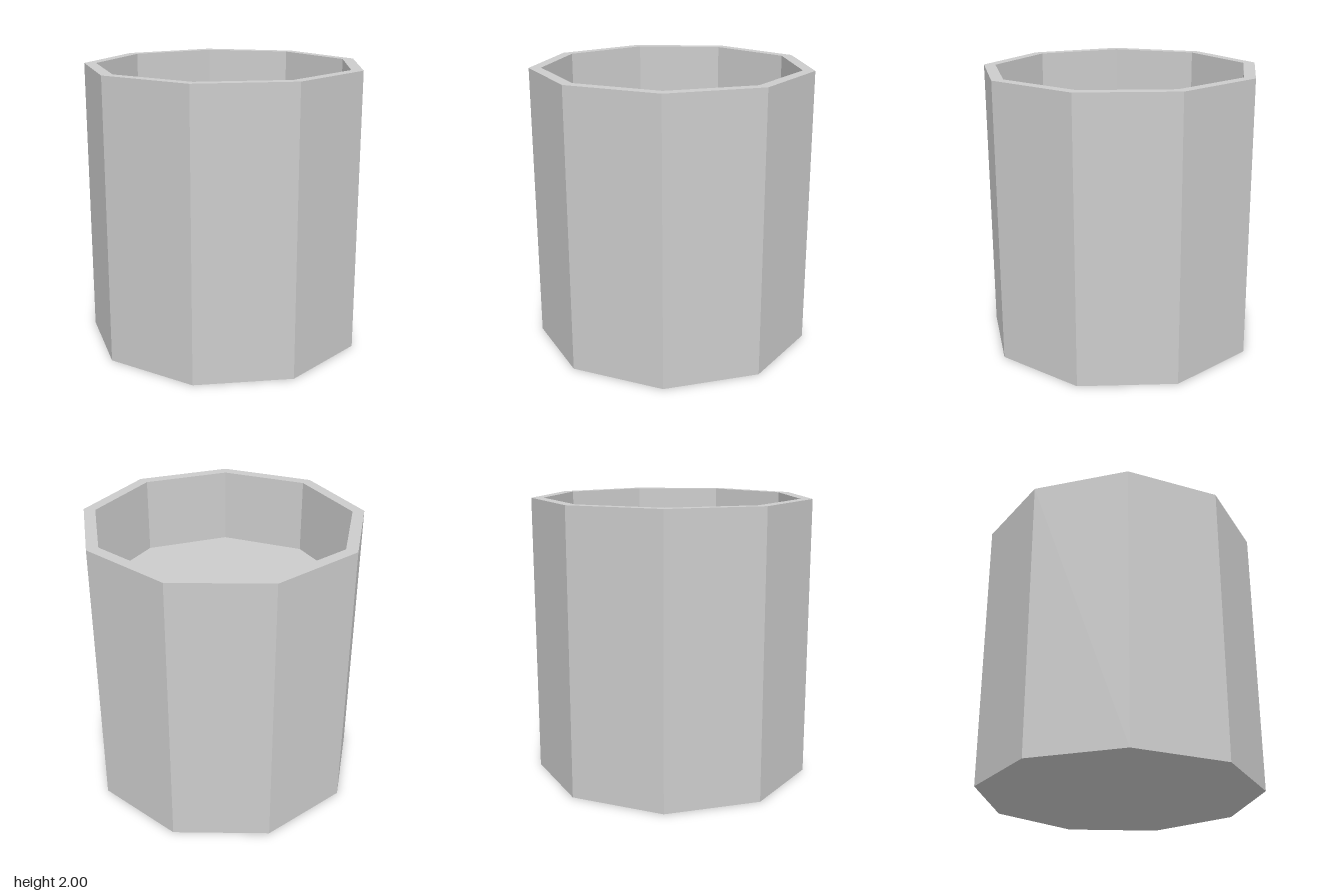
import * as THREE from 'three';

const SIDES = 9;
const OUTER = 1.0;
const INNER = 0.915;
const HEIGHT = 2;
const FLOOR = 1.455;

export function createModel() {
  const group = new THREE.Group();
  group.name = 'nineSidedPot';

  // Closed profile: underside, outer wall, rim, inner wall, recessed floor
  const profile = [
    [0, 0], [OUTER, 0], [OUTER, HEIGHT],
    [INNER, HEIGHT], [INNER, FLOOR], [0, FLOOR],
  ].map(([r, y]) => new THREE.Vector2(r, y));

  // One corner points to the back, one flat side faces the front
  const geometry = new THREE.LatheGeometry(profile, SIDES, Math.PI);
  const material = new THREE.MeshStandardMaterial({ color: 0xcccccc, flatShading: true });
  const pot = new THREE.Mesh(geometry, material);
  pot.name = 'pot';

  // Centre the odd-sided outline between its back corner and front side
  pot.position.z = OUTER * (1 - Math.cos(Math.PI / SIDES)) / 2;
  group.add(pot);
  return group;
}
